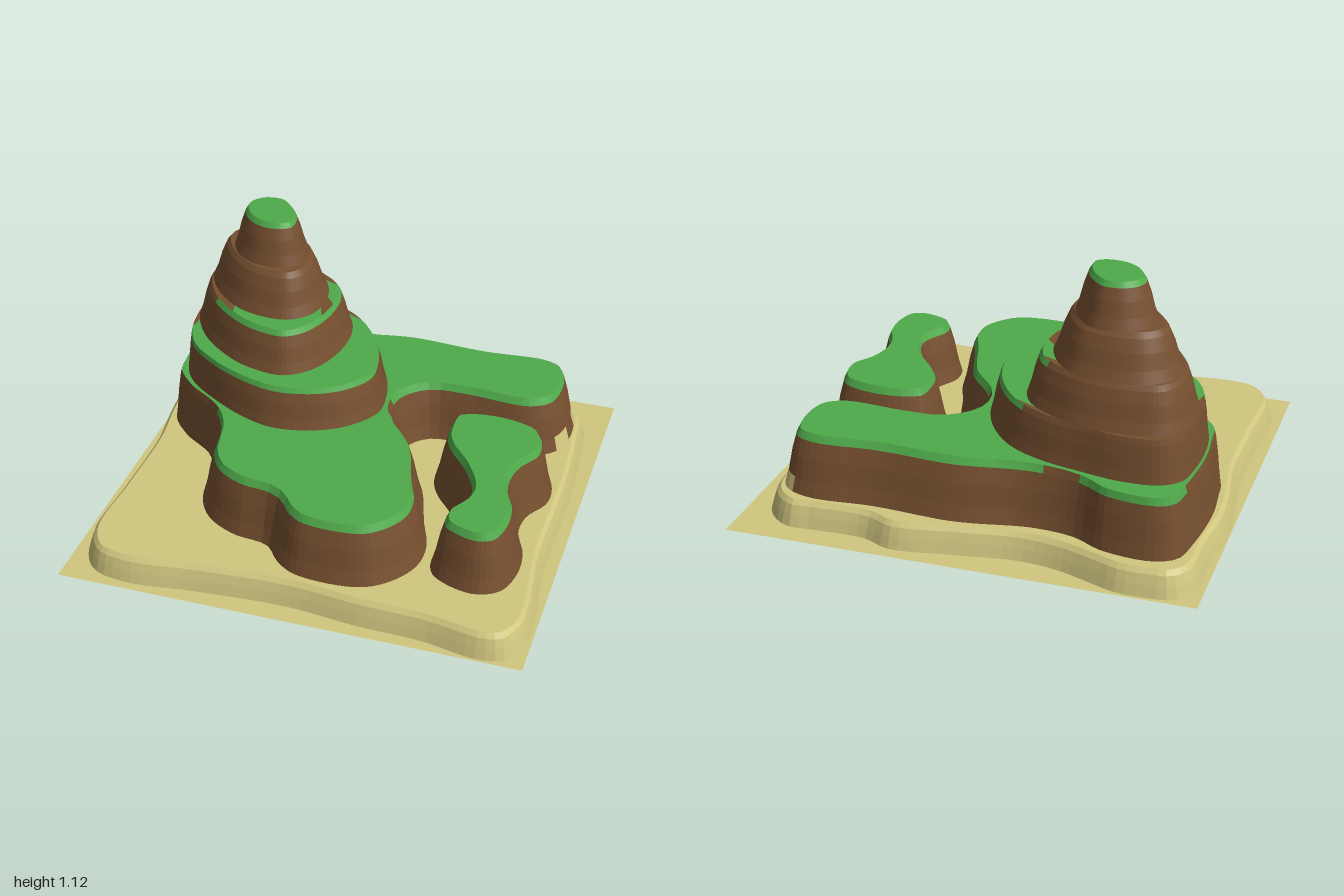
import * as THREE from 'three';

const mat = (name, color) => {
  const m = new THREE.MeshStandardMaterial({ color, side: THREE.DoubleSide });
  m.name = name;
  return m;
};

// Outlines are plan points (x, z) in hundredths of a unit, clockwise from above, starting on the left.
const OUTLINES = {
  sand: [-99.5, -39, -97.5, -61, -96, -86, -89, -94, -79, -95.5, -66, -95, -56, -91.5, -40, -86, -23, -84, 3, -87.5,
    30, -91, 43, -86, 66, -86, 78, -86, 89, -76, 93, -50, 95, -18, 95, 4, 95, 36, 98, 65, 98, 81, 92, 93, 83, 96,
    57, 92, 30, 91, -2, 88, -40, 90, -72, 93, -87, 89, -95, 76, -95, 41, -95, 4, -98, -18],
  mesa: [-93.2, -39, -93, -50, -91, -69, -88, -81, -79, -86, -58, -84, -44, -77, -26, -75, -2, -79, 9, -80, 41, -78,
    71, -79, 83, -73, 87.5, -56, 84, -39, 72, -31, 41, -32, 27, -31, 19, -23, 20, -12, 33, 6, 41, 30, 46.5, 46, 46, 60,
    38, 73, 27, 80, 0, 80, -10, 74, -18, 65, -34, 62, -48, 54, -56, 41, -59, 21, -65, 10, -80, -1, -90, -13, -92, -26],
  island: [37, -1, 38, -20, 46, -25, 59, -27, 73, -25, 83, -20, 88, -10, 88, 2, 82, 13, 81, 25, 86, 38, 87, 52,
    83, 65, 74, 70, 62, 68, 53, 62, 51, 50, 57, 36, 51, 22, 41, 9],
  lowerTerrace: [-88.3, -39, -87.5, -55, -85, -66, -77, -72, -61, -73, -45, -70, -26, -65, -10, -56, 3, -39, 9, -20,
    9, -7, 0, 6, -13, 14, -31, 17.5, -45, 14, -63, 4.5, -79, -8, -86, -22],
  middleTerrace: [-86, -42, -85, -55, -78, -65, -64, -68.5, -45, -67.5, -31, -62, -18, -52, -13, -39, -14, -20, -21, -4,
    -31, 3.5, -45, 2.5, -58, -3, -74, -16, -83, -30],
  upperCliff: [-79.5, -42, -78, -53, -69, -61.5, -53, -63.5, -37, -59, -27, -47, -23, -34, -25, -20, -33, -12, -45, -11,
    -58, -15, -72, -27],
  summit: [-68, -41, -66, -50, -58, -56.5, -46, -56.5, -37, -48, -32.5, -37, -33.5, -28, -41, -22.5, -53, -23, -63, -30],
};

// Evenly spaced points along a smooth closed outline.
function outline(name, count) {
  const a = OUTLINES[name], pts = [];
  for (let i = 0; i < a.length; i += 2) pts.push(new THREE.Vector3(a[i] / 100, 0, a[i + 1] / 100));
  return new THREE.CatmullRomCurve3(pts, true).getSpacedPoints(count).slice(0, count);
}

// Cliffs are steeper beside the back-left flank of the mountain.
const flank = p => THREE.MathUtils.clamp((p.x + 1) / 0.9 + Math.max(0, p.z) * 1.5, 0.5, 1);

// Move an outline inwards and lift it to height y.
function inset(ring, amount, y, steepFlank) {
  const n = ring.length;
  return ring.map((p, i) => {
    const t = ring[(i + 1) % n].clone().sub(ring[(i + n - 1) % n]).normalize();
    const d = amount * (steepFlank ? flank(p) : 1);
    return new THREE.Vector3(p.x - t.z * d, y, p.z + t.x * d);
  });
}

// Faceted strip through rings; pick(point, level) chooses each face's material.
function loft(name, rings, pick) {
  const group = new THREE.Group(), faces = new Map();
  group.name = name;
  for (let k = 0; k < rings.length - 1; k++) {
    const lo = rings[k], hi = rings[k + 1], n = lo.length;
    for (let i = 0; i < n; i++) {
      const j = (i + 1) % n, m = pick(lo[i], k);
      if (!faces.has(m)) faces.set(m, []);
      for (const p of [lo[i], hi[j], lo[j], lo[i], hi[i], hi[j]]) faces.get(m).push(p.x, p.y, p.z);
    }
  }
  for (const [m, list] of faces) {
    const g = new THREE.BufferGeometry();
    g.setAttribute('position', new THREE.Float32BufferAttribute(list, 3));
    g.computeVertexNormals();
    const mesh = new THREE.Mesh(g, m);
    mesh.name = `${name} ${m.name}`;
    group.add(mesh);
  }
  return group;
}

// Flat ground at height y, with openings under whatever rises from it.
function flat(name, ring, holes, y, material) {
  const plan = r => r.map(p => new THREE.Vector2(p.x, -p.z));
  const shape = new THREE.Shape(plan(ring));
  shape.holes = holes.map(h => new THREE.Path(plan(h)));
  const mesh = new THREE.Mesh(new THREE.ShapeGeometry(shape).rotateX(-Math.PI / 2), material);
  mesh.position.y = y;
  mesh.name = name;
  return mesh;
}

// Cliff cross-section: [height fraction, inset fraction]
const CLIFF = [[0, 0], [0.25, 0.25], [0.6, 0.5], [0.88, 0.78], [1, 1]];
const cliffRings = (ring, y0, y1, depth, steepFlank) =>
  CLIFF.map(([h, d]) => inset(ring, depth * d, y0 + (y1 - y0) * h, steepFlank));

export function createModel() {
  const sand = mat('sand', 0xd1c780), earth = mat('earth', 0x775030), grass = mat('grass', 0x4fab4b);
  const model = new THREE.Group();
  model.name = 'terraced island';
  const SHORE = 0.11, MESA = 0.37, RIM = CLIFF.length - 2;

  const shore = outline('sand', 170), mesa = outline('mesa', 170), island = outline('island', 80);
  const tiers = [
    { name: 'lowerTerrace', y0: MESA, y1: 0.555, depth: 0.05, steepFlank: true, grassy: true },
    { name: 'middleTerrace', y0: 0.555, y1: 0.745, depth: 0.064, grassy: true },
    { name: 'upperCliff', y0: 0.745, y1: 0.935, depth: 0.083, grassy: false },
    { name: 'summit', y0: 0.935, y1: 1.12, depth: 0.066, grassy: true },
  ];
  tiers.forEach(t => { t.ring = outline(t.name, 90); });

  // Sea-level sheet and the raised beach
  const corners = [[-1, 0.97], [-1, -0.97], [1, -0.97], [1, 0.97]].map(([x, z]) => new THREE.Vector3(x, 0, z));
  model.add(flat('seaLevel', corners, [shore], 0, sand));
  const bank = [[0, 0], [0.014, 0.05], [0.028, 0.09], [0.045, SHORE]].map(([d, y]) => inset(shore, d, y));
  model.add(loft('beachBank', bank, () => sand));
  model.add(flat('beach', bank[3], [mesa, island], SHORE, sand));

  // A rim stays bare where the next cliff rises directly from it
  const bare = (p, next) => next.some(q => Math.hypot(p.x - q.x, p.z - q.z) < 0.04);

  // Large mesa, with sand drifted against its right-hand end
  const mesaRings = cliffRings(mesa, SHORE, MESA, 0.075, true);
  const drift = p => p.x > 0.78 && p.z < -0.42 && Math.abs(p.z + 0.57) > 0.06;
  model.add(loft('mesaCliff', mesaRings, (p, k) =>
    k === RIM && !bare(p, tiers[0].ring) ? grass : k === 0 && drift(p) ? sand : earth));
  model.add(flat('mesaTop', mesaRings[RIM + 1], [tiers[0].ring], MESA, grass));

  // Small detached mesa
  const islandRings = cliffRings(island, SHORE, MESA, 0.07);
  model.add(loft('smallMesaCliff', islandRings, (p, k) => (k === RIM ? grass : earth)));
  model.add(flat('smallMesaTop', islandRings[RIM + 1], [], MESA, grass));

  // Mountain terraces, each joined to the next by a level ledge
  tiers.forEach((t, i) => {
    const rings = cliffRings(t.ring, t.y0, t.y1, t.depth, t.steepFlank);
    const next = tiers[i + 1];
    const green = p => t.grassy && !(next && bare(p, next.ring));
    model.add(loft(t.name, rings, (p, k) => (k === RIM && green(p) ? grass : earth)));
    const top = rings[RIM + 1];
    if (next) {
      const foot = inset(next.ring, 0, t.y1);
      model.add(loft(`${t.name}Ledge`, [top, foot], p => (green(p) ? grass : earth)));
    } else {
      model.add(flat('summitTop', top, [], t.y1, grass));
    }
  });
  return model;
}
